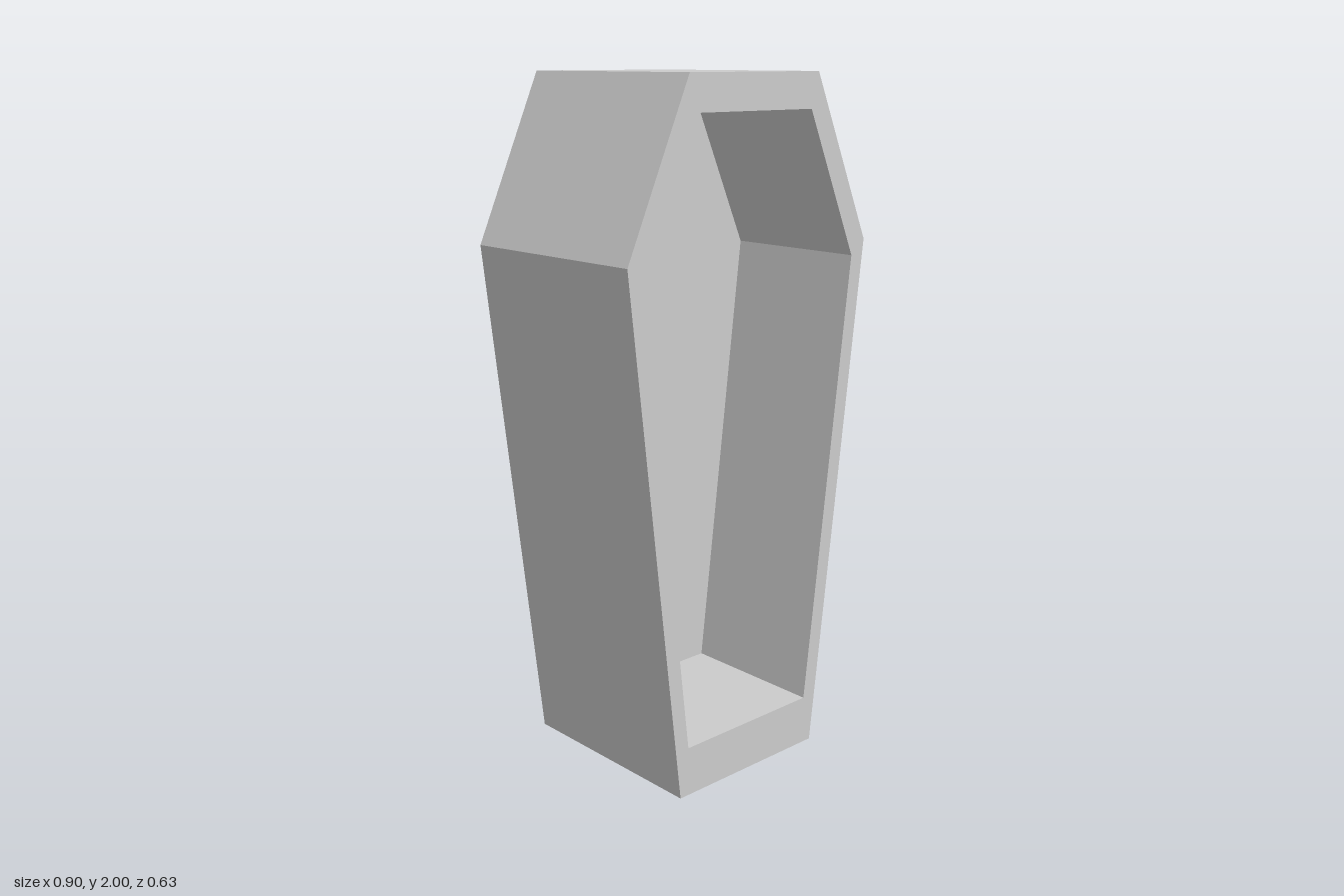
import * as THREE from 'three';

// Symmetric six-sided outline, counter-clockwise seen from the front
function outline(foot, footY, shoulder, shoulderY, head, headY) {
  return [
    [-foot, footY], [foot, footY], [shoulder, shoulderY],
    [head, headY], [-head, headY], [-shoulder, shoulderY],
  ];
}

const ring = (points, z) => points.map(([x, y]) => new THREE.Vector3(x, y, z));

// Skin consecutive rings, closing the first and last with flat caps
function skinRings(rings) {
  const corners = [];
  const n = rings[0].length;
  for (let r = 0; r < rings.length - 1; r++) {
    for (let i = 0; i < n; i++) {
      const j = (i + 1) % n;
      const [a, b, c, d] = [rings[r][i], rings[r][j], rings[r + 1][j], rings[r + 1][i]];
      corners.push(a, b, c, a, c, d);
    }
  }
  const first = rings[0];
  const last = rings[rings.length - 1];
  for (let i = 1; i < n - 1; i++) {
    corners.push(first[0], first[i + 1], first[i]);
    corners.push(last[0], last[i], last[i + 1]);
  }
  const geometry = new THREE.BufferGeometry().setFromPoints(corners);
  geometry.computeVertexNormals();
  return geometry;
}

export function createModel() {
  const group = new THREE.Group();
  group.name = 'coffin';

  const outer = outline(0.27, 0, 0.452, 1.527, 0.241, 2);
  const inner = outline(0.24, 0.146, 0.4, 1.483, 0.215, 1.9);
  const halfDepth = 0.315;
  const cavityBack = -0.135;

  // Outer walls, front rim, cavity walls, with the back and cavity back as caps
  const body = new THREE.Mesh(
    skinRings([
      ring(outer, -halfDepth),
      ring(outer, halfDepth),
      ring(inner, halfDepth),
      ring(inner, cavityBack),
    ]),
    new THREE.MeshStandardMaterial({ color: 0xcccccc, flatShading: true }),
  );
  body.name = 'coffinBody';
  group.add(body);
  return group;
}
